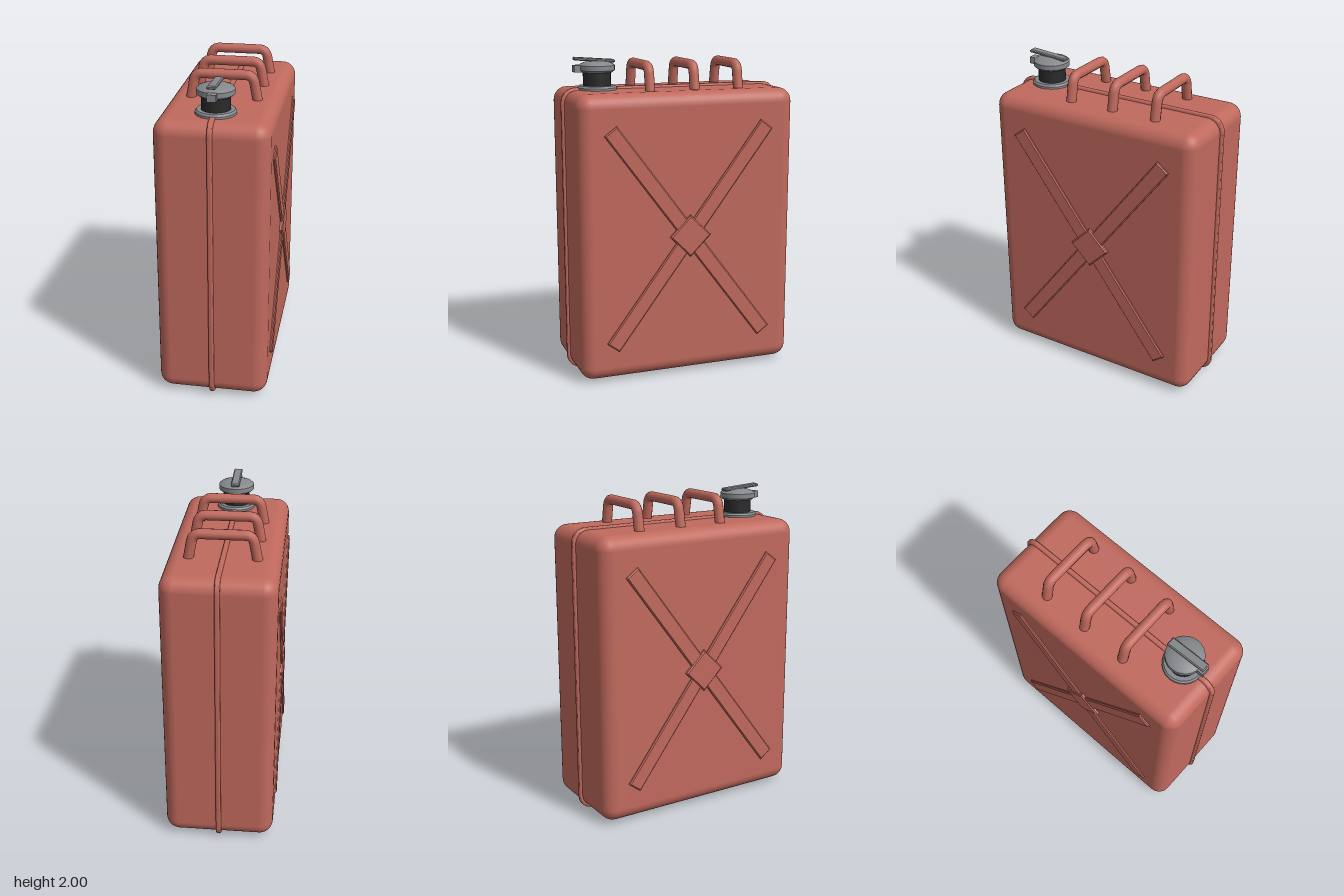
import * as THREE from 'three';
import { toCreasedNormals } from 'three/addons/utils/BufferGeometryUtils.js';
import { RoundedBoxGeometry } from 'three/addons/geometries/RoundedBoxGeometry.js';

const paint = new THREE.MeshStandardMaterial({ name: 'red paint', color: 0xc0695d });
const metal = new THREE.MeshStandardMaterial({ name: 'grey metal', color: 0x86898c });
const rubber = new THREE.MeshStandardMaterial({ name: 'black rubber', color: 0x2a2a2a });

function add(parent, name, geometry, material, x = 0, y = 0, z = 0) {
  const mesh = new THREE.Mesh(geometry, material);
  mesh.name = name;
  mesh.position.set(x, y, z);
  parent.add(mesh);
  return mesh;
}

// Rounded rectangle centred on the origin
function roundedRect(w, h, r) {
  const s = new THREE.Shape();
  const x = w / 2 - r, y = h / 2 - r;
  s.absarc(x, y, r, 0, Math.PI / 2);
  s.absarc(-x, y, r, Math.PI / 2, Math.PI);
  s.absarc(-x, -y, r, Math.PI, Math.PI * 1.5);
  s.absarc(x, -y, r, Math.PI * 1.5, Math.PI * 2);
  s.closePath();
  return s;
}

// Flat plate with chamfered edges, w by h overall, rising from z = 0 to depth
function plate(w, h, depth, bevel) {
  const x = w / 2 - bevel, y = h / 2 - bevel;
  const s = new THREE.Shape([
    new THREE.Vector2(-x, -y), new THREE.Vector2(x, -y),
    new THREE.Vector2(x, y), new THREE.Vector2(-x, y),
  ]);
  const g = new THREE.ExtrudeGeometry(s, {
    depth: depth - 2 * bevel, bevelSize: bevel, bevelThickness: bevel, bevelSegments: 1,
  });
  return g.translate(0, 0, bevel);
}

function lathe(points, sides) {
  const g = new THREE.LatheGeometry(points.map(([r, y]) => new THREE.Vector2(r, y)), sides);
  return toCreasedNormals(g, 0.6);
}

export function createModel() {
  const model = new THREE.Group();
  model.name = 'fuelCan';

  // Body and the welded seam running round its middle
  add(model, 'body', new RoundedBoxGeometry(0.68, 1.78, 1.4, 4, 0.085), paint, 0, 0.91, 0);
  const seam = new THREE.ExtrudeGeometry(roundedRect(1.412, 1.788, 0.08), {
    depth: 0.012, bevelSize: 0.012, bevelThickness: 0.01, bevelSegments: 3, curveSegments: 5,
  });
  seam.translate(0, 0, -0.006).rotateY(Math.PI / 2);
  add(model, 'seam', toCreasedNormals(seam, 0.8), paint, 0, 0.909, 0);

  // Crossed ribs with a diamond boss on both sides
  const tilt = Math.atan2(0.505, 0.675);
  for (const side of [1, -1]) {
    const panel = new THREE.Group();
    panel.name = side > 0 ? 'leftCross' : 'rightCross';
    panel.position.set(side * 0.33, 0.91, 0);
    panel.rotation.y = side * Math.PI / 2;
    for (const a of [tilt, -tilt]) {
      add(panel, 'rib', plate(0.096, 1.686, 0.024, 0.007), paint).rotation.z = a;
    }
    add(panel, 'boss', plate(0.188, 0.188, 0.031, 0.008), paint).rotation.z = Math.PI / 4;
    model.add(panel);
  }

  // Three carrying handles
  const V = (x, y) => new THREE.Vector3(x, y, 0);
  const path = new THREE.CurvePath();
  path.add(new THREE.LineCurve3(V(-0.206, 1.77), V(-0.182, 1.9)));
  path.add(new THREE.QuadraticBezierCurve3(V(-0.182, 1.9), V(-0.173, 1.947), V(-0.13, 1.947)));
  path.add(new THREE.LineCurve3(V(-0.13, 1.947), V(0.13, 1.947)));
  path.add(new THREE.QuadraticBezierCurve3(V(0.13, 1.947), V(0.173, 1.947), V(0.182, 1.9)));
  path.add(new THREE.LineCurve3(V(0.182, 1.9), V(0.206, 1.77)));
  const handle = new THREE.TubeGeometry(path, 40, 0.031, 12);
  for (const z of [0.21, -0.08, -0.37]) add(model, 'handle', handle, paint, 0, 0, z);

  // Filler spout: flange, rubber neck, domed cap
  const spout = new THREE.Group();
  spout.name = 'spout';
  spout.position.z = 0.487;
  model.add(spout);
  add(spout, 'flange', lathe([
    [0, 1.79], [0.122, 1.79], [0.122, 1.813], [0.112, 1.825], [0, 1.825],
  ], 24), metal);
  add(spout, 'neck', new THREE.CylinderGeometry(0.086, 0.086, 0.1, 24), rubber, 0, 1.868, 0);
  add(spout, 'cap', lathe([
    [0, 1.905], [0.095, 1.905], [0.112, 1.918], [0.112, 1.948],
    [0.1, 1.958], [0.07, 1.969], [0.035, 1.975], [0, 1.977],
  ], 24), metal);

  // Hinge lug and tilted locking lever
  add(spout, 'hingeLug', new THREE.BoxGeometry(0.054, 0.042, 0.07), metal, 0, 1.93, 0.113);
  const lever = plate(0.054, 0.255, 0.02, 0.006).translate(0, 0, -0.01).rotateX(-Math.PI / 2);
  add(spout, 'lever', lever, metal, 0, 1.981, 0.018).rotation.x = -0.075;

  return model;
}
